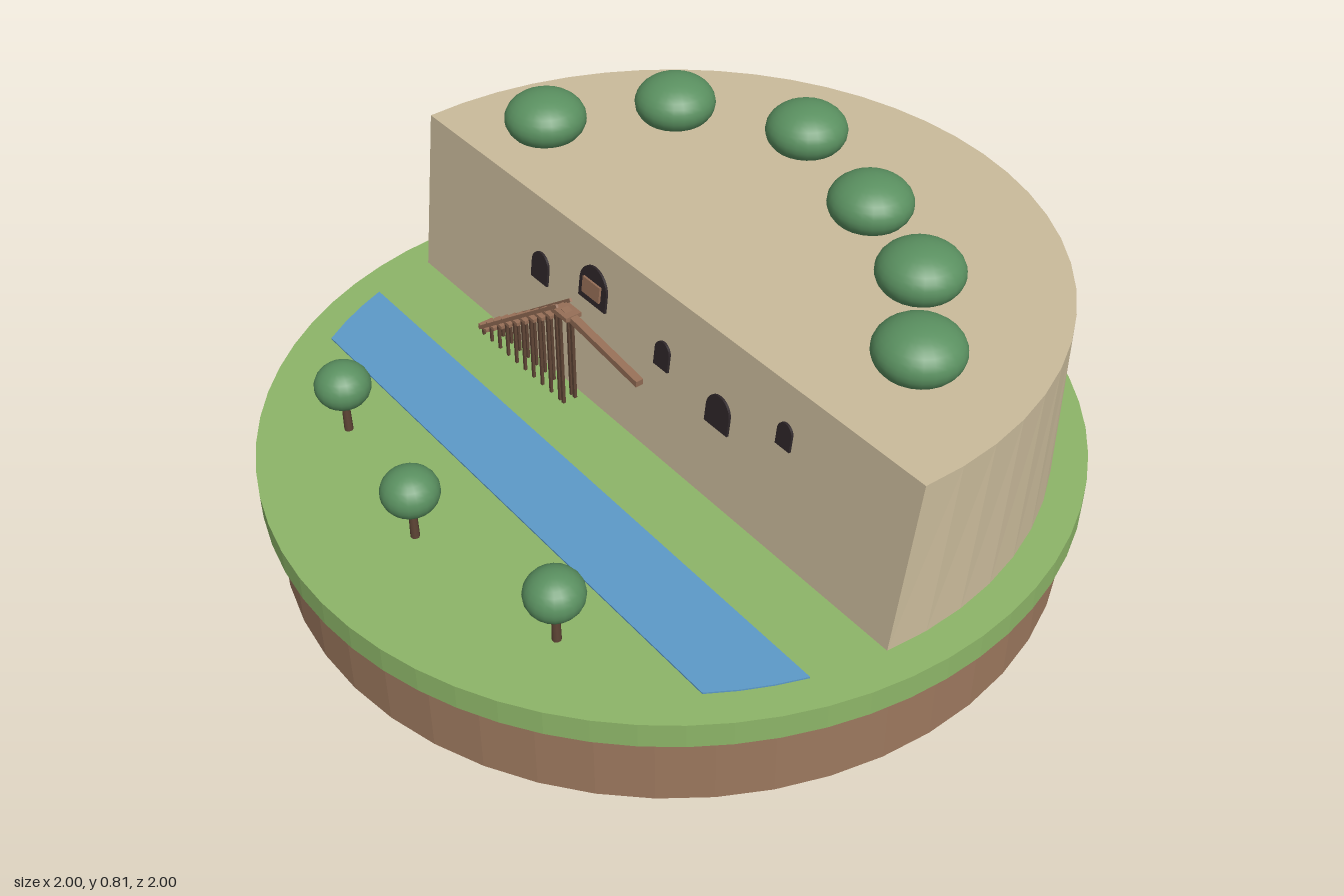
import * as THREE from 'three';

const mat = (name, color, extra = {}) => Object.assign(new THREE.MeshStandardMaterial({ color, ...extra }), { name });
const grass = mat('grass', 0x8db568), soil = mat('soil', 0x9c785e), stone = mat('stone', 0xcabb9b);
const foliage = mat('foliage', 0x5a9060), water = mat('water', 0x5c9ac8), wood = mat('wood', 0x966f57);
const darkWood = mat('darkWood', 0x5f4536), opening = mat('opening', 0x2e2629);

const GROUND = 0.265, TOP = 0.7, WALL_BOTTOM = 0.135, WALL_TOP = 0.08, R = 0.915;
const lean = (WALL_BOTTOM - WALL_TOP) / (TOP - GROUND);
const wallZ = y => WALL_BOTTOM - lean * (y - GROUND);

function add(parent, name, geometry, material, x = 0, y = 0, z = 0) {
  const mesh = new THREE.Mesh(geometry, material);
  mesh.name = name;
  mesh.position.set(x, y, z);
  parent.add(mesh);
  return mesh;
}

function faceted(geometry) {
  const g = geometry.toNonIndexed();
  g.computeVertexNormals();
  return g;
}

// Flat slanted beam between two points in the x-y plane
function beam(parent, name, x0, y0, x1, y1, z, thick, wide, material) {
  const b = add(parent, name, new THREE.BoxGeometry(Math.hypot(x1 - x0, y1 - y0), thick, wide),
    material, (x0 + x1) / 2, (y0 + y1) / 2, z);
  b.rotation.z = Math.atan2(y1 - y0, x1 - x0);
}

// Round mesa cut by a leaning front wall, lofted from two outlines
function cliffGeometry() {
  const n = 30;
  const outline = (y, cut) => Array.from({ length: n + 1 }, (_, i) => {
    const a0 = Math.asin(cut / R), a = a0 - (Math.PI + 2 * a0) * i / n;
    return [R * Math.cos(a), y, R * Math.sin(a)];
  });
  const b = outline(GROUND - 0.005, WALL_BOTTOM), t = outline(TOP, WALL_TOP), v = [];
  for (let i = 0; i <= n; i++) {
    const j = (i + 1) % (n + 1);
    v.push(...b[i], ...b[j], ...t[j], ...b[i], ...t[j], ...t[i]);
    if (i > 0 && i < n) v.push(...t[0], ...t[i], ...t[j], ...b[0], ...b[j], ...b[i]);
  }
  const g = new THREE.BufferGeometry();
  g.setAttribute('position', new THREE.Float32BufferAttribute(v, 3));
  g.computeVertexNormals();
  return g;
}

// River band clipped by the island's circle
function riverGeometry() {
  const r = 0.918, a0 = Math.asin(0.312 / r), a1 = Math.asin(0.514 / r);
  const s = new THREE.Shape();
  for (let i = 0; i <= 3; i++) {
    const a = a0 + (a1 - a0) * i / 3;
    s.lineTo(r * Math.cos(a), -r * Math.sin(a));
  }
  for (let i = 3; i >= 0; i--) {
    const a = a0 + (a1 - a0) * i / 3;
    s.lineTo(-r * Math.cos(a), -r * Math.sin(a));
  }
  s.curves.shift();
  return new THREE.ExtrudeGeometry(s, { depth: 0.006, bevelEnabled: false }).rotateX(-Math.PI / 2);
}

function archGeometry(w, h) {
  const s = new THREE.Shape();
  s.moveTo(-w / 2, 0);
  s.lineTo(w / 2, 0);
  s.lineTo(w / 2, h - w / 2);
  s.absarc(0, h - w / 2, w / 2, 0, Math.PI);
  s.closePath();
  return new THREE.ExtrudeGeometry(s, { depth: 0.008, bevelEnabled: false, curveSegments: 10 });
}

export function createModel() {
  const model = new THREE.Group();
  model.name = 'cliffIsland';

  // Base
  add(model, 'soilBase', faceted(new THREE.CylinderGeometry(0.97, 0.97, 0.2, 48)), soil, 0, 0.1, 0);
  add(model, 'grassDisc', faceted(new THREE.CylinderGeometry(1, 1, GROUND - 0.2, 64)), grass, 0, (GROUND + 0.2) / 2, 0);

  // Everything aligned with the wall shares one turned group
  const site = new THREE.Group();
  site.name = 'cliffSite';
  site.rotation.y = -Math.PI / 9;
  model.add(site);
  add(site, 'cliff', cliffGeometry(), stone);
  add(site, 'river', riverGeometry(), water, 0, GROUND - 0.002, 0);

  // Cave openings: position along wall, sill height, width, height
  const caves = [[-0.39, 0.48, 0.068, 0.08], [-0.175, 0.53, 0.106, 0.1], [0.097, 0.505, 0.052, 0.07],
    [0.305, 0.465, 0.08, 0.085], [0.517, 0.545, 0.046, 0.063]];
  for (const [x, y, w, h] of caves) {
    const arch = add(site, 'caveOpening', archGeometry(w, h), opening, x, y, wallZ(y) - 0.002);
    arch.rotation.x = -Math.atan(lean);
  }
  const door = add(site, 'caveDoor', new THREE.BoxGeometry(0.068, 0.042, 0.006), wood, -0.175, 0.572, wallZ(0.572) + 0.009);
  door.rotation.x = -Math.atan(lean);

  // Staircase on posts
  const steps = 10, x0 = -0.54, x1 = -0.2, y0 = 0.285, y1 = 0.53, z = 0.175;
  for (let i = 0; i < steps; i++) {
    const x = x0 + (x1 - x0) * i / (steps - 1), y = y0 + (y1 - y0) * i / (steps - 1);
    add(site, 'step', new THREE.BoxGeometry(0.036, 0.009, 0.042), wood, x, y, z);
    for (const s of [-1, 1]) {
      add(site, 'stairPost', new THREE.BoxGeometry(0.007, y - GROUND, 0.007), darkWood, x, (y + GROUND) / 2, z + s * 0.017);
    }
  }
  for (const s of [-1, 1]) {
    beam(site, 'stairRail', -0.555, 0.278, -0.19, 0.555, z + s * 0.02, 0.009, 0.006, wood);
    add(site, 'landingPost', new THREE.BoxGeometry(0.008, 0.27, 0.008), darkWood, -0.185, 0.4, z + s * 0.017);
  }

  // Landing and sloping walkway
  add(site, 'landing', new THREE.BoxGeometry(0.055, 0.012, 0.044), wood, -0.178, 0.535, z);
  beam(site, 'walkway', -0.19, 0.535, 0.105, 0.498, z, 0.017, 0.02, wood);

  // Bushes on the plateau
  const bushes = [[-0.585, -0.33], [-0.35, -0.575], [0.005, -0.63], [0.295, -0.415], [0.52, -0.22], [0.645, 0.045]];
  for (const [x, bz] of bushes) {
    add(model, 'plateauBush', new THREE.SphereGeometry(0.105, 24, 16), foliage, x, 0.74, bz).scale.y = 0.67;
  }

  // Small trees on the near bank
  for (const [x, tz] of [[-0.62, 0.475], [-0.25, 0.685], [0.2, 0.775]]) {
    add(model, 'treeTrunk', new THREE.CylinderGeometry(0.009, 0.011, 0.11, 8), darkWood, x, GROUND + 0.05, tz);
    add(model, 'treeCrown', new THREE.SphereGeometry(0.068, 20, 14), foliage, x, 0.4, tz).scale.y = 0.85;
  }
  return model;
}
